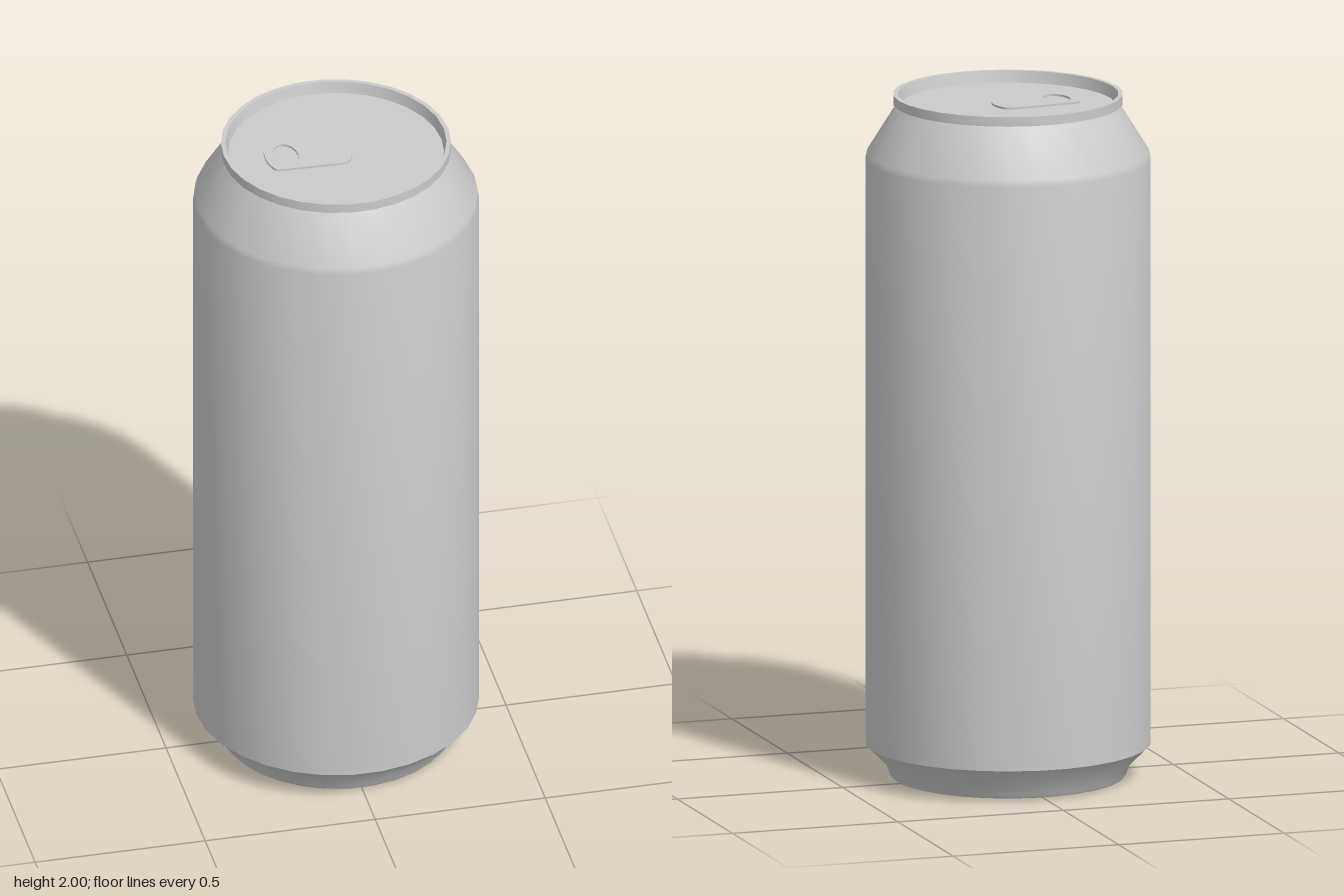
import * as THREE from 'three';
import { toCreasedNormals } from 'three/addons/utils/BufferGeometryUtils.js';

const material = new THREE.MeshStandardMaterial({ color: 0xcccccc });
const SIDES = 30;

// Revolved part; profile runs [radius, height] from the bottom up
function revolve(name, profile) {
  const points = profile.map(([r, y]) => new THREE.Vector2(r, y));
  const lathe = new THREE.LatheGeometry(points, SIDES, Math.PI / 2);
  const mesh = new THREE.Mesh(toCreasedNormals(lathe, 0.5), material);
  mesh.name = name;
  return mesh;
}

// Pull tab: rounded plate with a finger hole, lying along x
function createTab() {
  const plate = new THREE.Shape();
  plate.moveTo(-0.175, -0.07);
  plate.lineTo(0, -0.07);
  plate.bezierCurveTo(0.035, -0.07, 0.032, -0.045, 0.042, -0.025);
  plate.quadraticCurveTo(0.047, 0, 0.042, 0.025);
  plate.bezierCurveTo(0.032, 0.045, 0.035, 0.07, 0, 0.07);
  plate.lineTo(-0.175, 0.07);
  plate.bezierCurveTo(-0.2, 0.07, -0.198, 0.05, -0.206, 0.03);
  plate.quadraticCurveTo(-0.211, 0, -0.206, -0.03);
  plate.bezierCurveTo(-0.198, -0.05, -0.2, -0.07, -0.175, -0.07);

  const hole = new THREE.Path();
  hole.absellipse(-0.148, 0, 0.037, 0.059, 0, Math.PI * 2, true);
  plate.holes.push(hole);

  const geometry = new THREE.ExtrudeGeometry(plate, { depth: 0.006, bevelEnabled: false, curveSegments: 8 });
  geometry.rotateX(-Math.PI / 2);
  const tab = new THREE.Mesh(toCreasedNormals(geometry, 0.6), material);
  tab.name = 'pullTab';
  tab.position.y = 1.967;
  tab.rotation.z = -0.02;
  return tab;
}

export function createModel() {
  const can = new THREE.Group();
  can.name = 'drinkCan';
  can.add(
    // Base, foot, wall and tapered neck
    revolve('body', [
      [0, 0], [0.08, 0], [0.335, 0.005], [0.34, 0.012], [0.35, 0.04],
      [0.41, 0.1], [0.41, 1.81], [0.405, 1.83], [0.318, 1.97],
    ]),
    // Rolled rim and sunken lid
    revolve('rimAndLid', [
      [0.318, 1.97], [0.33, 1.972], [0.33, 2], [0.317, 2], [0.31, 1.966], [0, 1.966],
    ]),
    createTab(),
  );
  return can;
}
